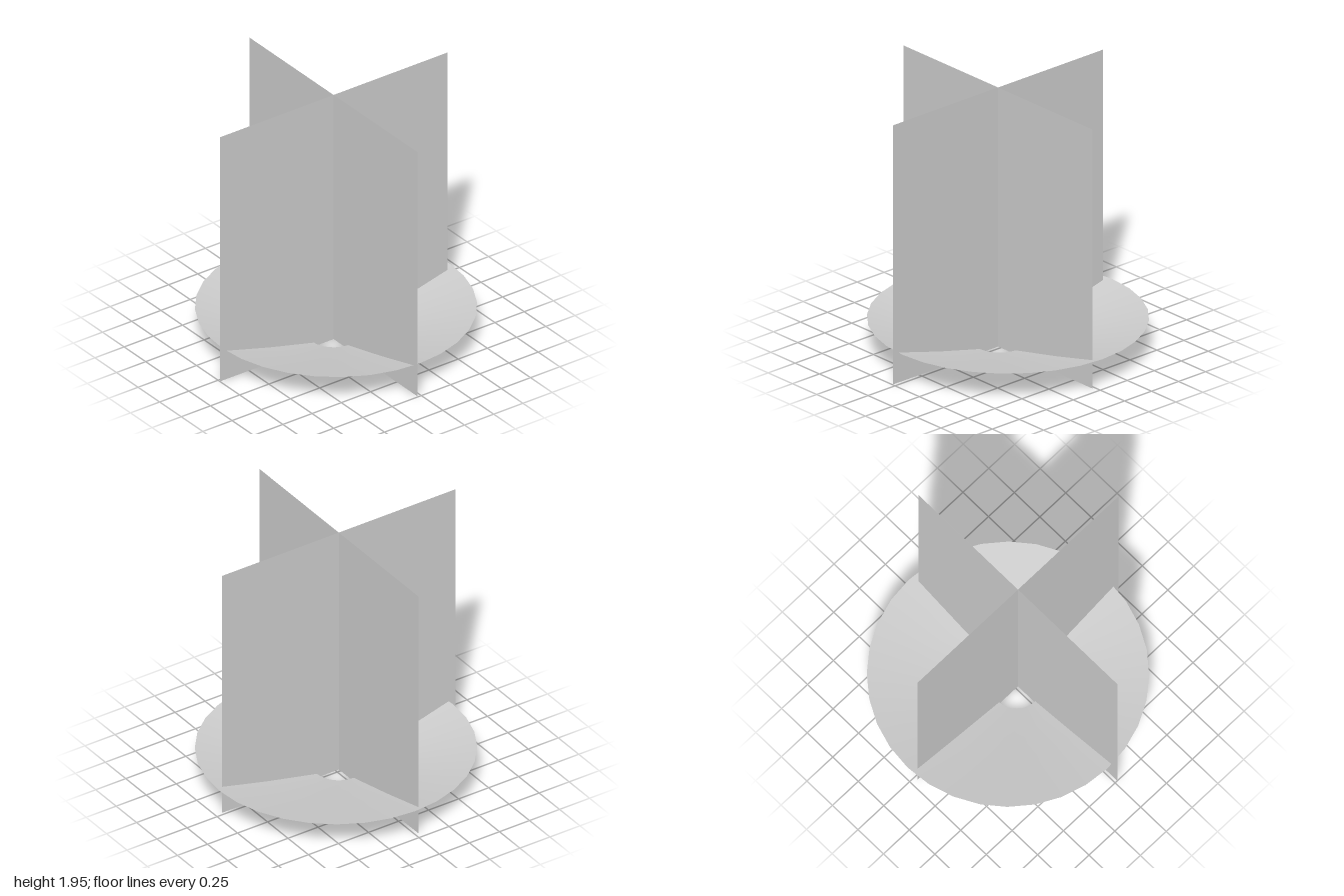
import * as THREE from 'three';

const SIDES = 32;

// Cross-sections of the dish: slightly skewed rings from the hole to the rim
const RINGS = [
  { x: 0.013, z: 0.021, y: 0.03, r: 0.174 },
  { x: -0.005, z: -0.003, y: 0.122, r: 0.573 },
  { x: -0.023, z: -0.026, y: 0.225, r: 0.972 },
];

function dishGeometry() {
  const positions = [];
  const index = [];
  for (const ring of RINGS) {
    for (let i = 0; i < SIDES; i++) {
      const a = (i / SIDES) * Math.PI * 2;
      positions.push(ring.x + ring.r * Math.sin(a), ring.y, ring.z + ring.r * Math.cos(a));
    }
  }
  for (let k = 0; k < RINGS.length - 1; k++) {
    for (let i = 0; i < SIDES; i++) {
      const j = (i + 1) % SIDES;
      const a = k * SIDES + i;
      const b = k * SIDES + j;
      index.push(a, a + SIDES, b, b, a + SIDES, b + SIDES);
    }
  }
  const geometry = new THREE.BufferGeometry();
  geometry.setAttribute('position', new THREE.Float32BufferAttribute(positions, 3));
  geometry.setIndex(index);
  geometry.computeVertexNormals();
  return geometry;
}

export function createModel() {
  const group = new THREE.Group();
  const material = new THREE.MeshStandardMaterial({ color: 0xcccccc, side: THREE.DoubleSide });

  // Two thin upright panels crossing at right angles
  const size = 1.946;
  const panelGeometry = new THREE.PlaneGeometry(size, size);
  ['widePanel', 'deepPanel'].forEach((name, i) => {
    const panel = new THREE.Mesh(panelGeometry, material);
    panel.name = name;
    panel.position.set(0.021, size / 2, 0.027);
    panel.rotation.y = (i * Math.PI) / 2;
    group.add(panel);
  });

  // Shallow open dish with a hole in the middle
  const dish = new THREE.Mesh(dishGeometry(), material);
  dish.name = 'dish';
  group.add(dish);

  return group;
}
